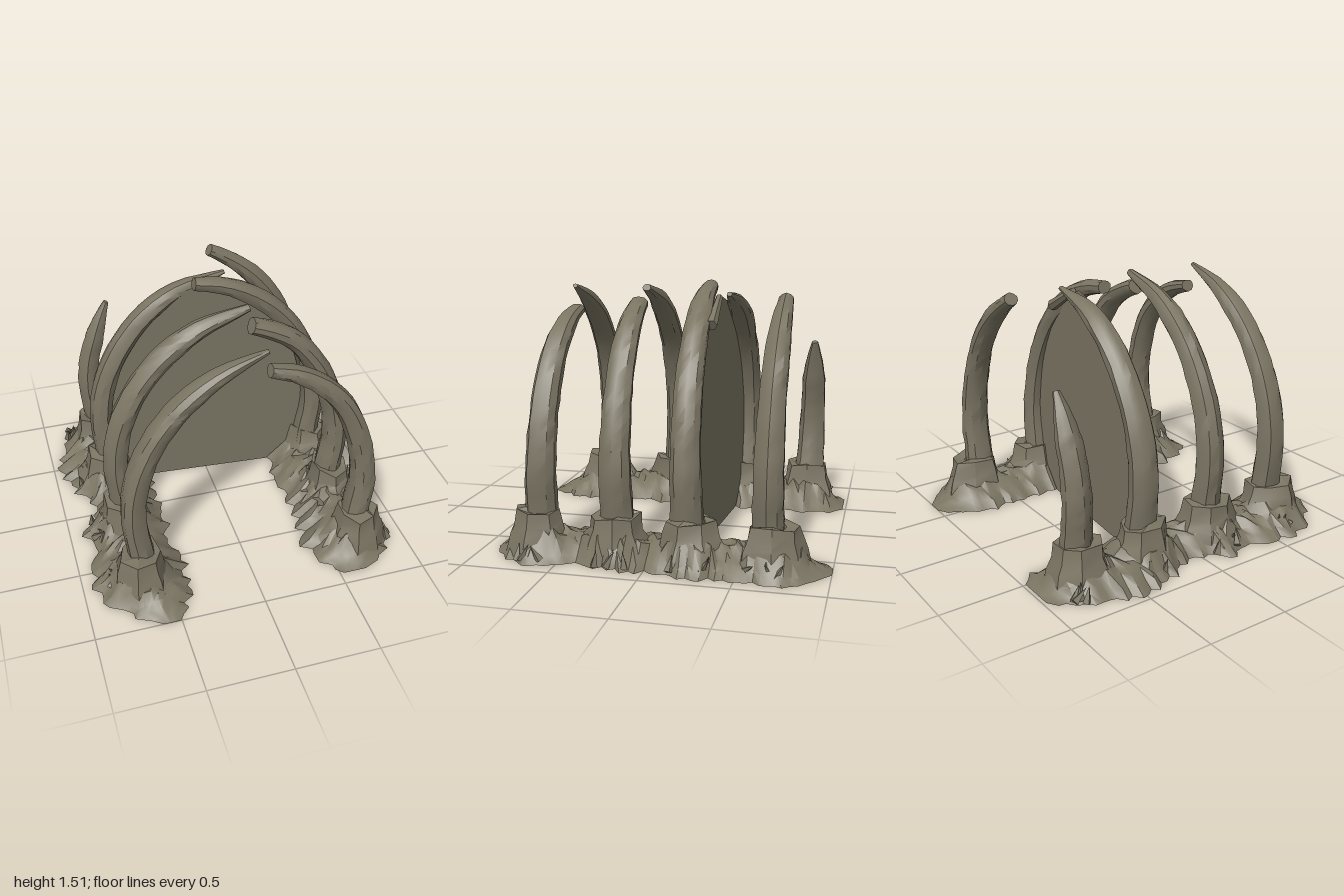
import * as THREE from 'three';
import { toCreasedNormals } from 'three/addons/utils/BufferGeometryUtils.js';

const FLOOR = 0.025;

// Repeatable random numbers in -1..1
let seed = 7;
function rand() {
  seed = (seed * 16807) % 2147483647;
  return (seed / 2147483647) * 2 - 1;
}

// Surface through a grid of points; flip turns it over
function gridGeometry(rows, flip = false) {
  const n = rows[0].length, index = [];
  for (let i = 0; i < rows.length - 1; i++) {
    for (let j = 0; j < n - 1; j++) {
      const a = i * n + j, b = a + 1, c = a + n, d = c + 1;
      if (flip) index.push(a, b, c, b, d, c);
      else index.push(a, c, b, b, c, d);
    }
  }
  const g = new THREE.BufferGeometry().setFromPoints(rows.flat());
  g.setIndex(index);
  return toCreasedNormals(g, 0.6);
}

// Rib centre lines as [x, y], from the root upwards
const leftLine = [[0.66, 0.05], [0.685, 0.3], [0.71, 0.5], [0.69, 0.7], [0.635, 0.9], [0.535, 1.1], [0.395, 1.27]];
const rightLine = [[-0.62, 0.05], [-0.65, 0.3], [-0.675, 0.5], [-0.663, 0.7], [-0.607, 0.9], [-0.5, 1.1], [-0.36, 1.26]];

// [line, upper points, root z, tip z, tip scale]
const ribs = [
  [leftLine.slice(0, 6), [[0.4, 1.235], [0.27, 1.315], [0.12, 1.36]], 0.65, 0.6, 0.45],
  [leftLine, [[0.25, 1.36], [0.14, 1.405]], 0.195, 0.21, 0.55],
  [leftLine, [[0.22, 1.4], [0.06, 1.47], [-0.09, 1.5]], -0.21, -0.18, 0.45],
  [leftLine, [[0.25, 1.385], [0.14, 1.45]], -0.65, -0.66, 0.45],
  [rightLine, [[-0.16, 1.4], [0.1, 1.5]], 0.63, 0.62, 0.15],
  [rightLine, [[-0.16, 1.4], [0.14, 1.5]], 0.155, 0.165, 0.25],
  [rightLine, [[-0.16, 1.39], [0.14, 1.47]], -0.31, -0.33, 0.15],
  [rightLine.slice(0, 5), [[-0.56, 1.03], [-0.52, 1.12]], -0.74, -0.77, 0.2],
];

// Tapered tube of oval rings with a slightly worn surface
function ribGeometry([line, top, z0, z1, tip]) {
  const pts = [...line, ...top];
  const curve = new THREE.CatmullRomCurve3(pts.map(([x, y], i) =>
    new THREE.Vector3(x, y, THREE.MathUtils.lerp(z0, z1, i / (pts.length - 1)))));
  const steps = 24, sides = 10, rows = [];
  const zAxis = new THREE.Vector3(0, 0, 1);
  const worn = Array.from({ length: sides }, () => 1 + rand() * 0.06);
  for (let i = 0; i <= steps + 1; i++) {
    const t = Math.min(i / steps, 1);
    const c = curve.getPointAt(t);
    const n = curve.getTangentAt(t).cross(zAxis).normalize();
    let s = t < 0.75 ? 1 - 0.27 * (t / 0.75) : 0.73 + (tip - 0.73) * ((t - 0.75) / 0.25) ** 1.3;
    if (i > steps) s = 0.001; // closing cap
    const ring = [];
    for (let j = 0; j < sides; j++) {
      const a = (j / sides) * Math.PI * 2;
      const r = s * worn[j] * (1 + rand() * 0.04);
      ring.push(c.clone().addScaledVector(n, Math.cos(a) * 0.084 * r)
        .addScaledVector(zAxis, Math.sin(a) * 0.1 * r));
    }
    ring.push(ring[0].clone());
    rows.push(ring);
  }
  return gridGeometry(rows);
}

// Ground outlines as [z, smaller x, larger x]
const leftGround = [[-1, 0.57, 0.72], [-0.9, 0.5, 0.82], [-0.75, 0.42, 0.94], [-0.5, 0.42, 0.89], [-0.2, 0.42, 0.92],
  [0, 0.41, 0.89], [0.2, 0.42, 0.9], [0.4, 0.42, 0.83], [0.65, 0.37, 0.91], [0.8, 0.44, 0.86], [0.92, 0.54, 0.66]];
const rightGround = [[-0.98, -0.72, -0.52], [-0.93, -0.78, -0.42], [-0.8, -0.89, -0.38], [-0.55, -0.95, -0.4],
  [-0.3, -0.92, -0.4], [-0.1, -0.82, -0.41], [0, -0.8, -0.41], [0.15, -0.91, -0.4], [0.4, -0.88, -0.41],
  [0.6, -0.93, -0.38], [0.8, -0.88, -0.38], [1, -0.62, -0.5]];

function outlineAt(outline, z) {
  let k = 0;
  while (k < outline.length - 2 && outline[k + 1][0] < z) k++;
  const [za, a0, b0] = outline[k], [zb, a1, b1] = outline[k + 1];
  const t = (z - za) / (zb - za);
  return [THREE.MathUtils.lerp(a0, a1, t), THREE.MathUtils.lerp(b0, b1, t)];
}

// Rough mound rising around each socket, with a flat underside
function groundGeometries(outline, sockets) {
  const rows = [], under = [], nz = 48, nx = 10;
  const zA = outline[0][0], zB = outline[outline.length - 1][0];
  for (let i = 0; i <= nz; i++) {
    const z = zA + (zB - zA) * (i / nz);
    let [x0, x1] = outlineAt(outline, z);
    x0 += rand() * 0.035;
    x1 += rand() * 0.035;
    const row = [], end = Math.min(1, Math.min(i, nz - i) / 6);
    for (let j = 0; j <= nx; j++) {
      const u = j / nx, x = x0 + (x1 - x0) * u;
      const e = Math.sin(Math.PI * u) * end;
      let h = 0.125 * e;
      for (const [sx, sz] of sockets) {
        const d = Math.hypot(x - sx, (z - sz) * 0.9) / 0.2;
        h = Math.max(h, 0.17 * Math.exp(-(d ** 4)) * Math.min(1, e * 1.8));
      }
      h *= 1 + rand() * 0.2;
      row.push(new THREE.Vector3(x, FLOOR + h, z));
    }
    rows.push(row);
    under.push([row[0].clone().setY(FLOOR), row[nx].clone().setY(FLOOR)]);
  }
  return [gridGeometry(rows), gridGeometry(under, true)];
}

// Broken stone collar around a rib root
function socketGeometry() {
  const sides = 7, rows = [];
  const profile = [[0.18, FLOOR], [0.155, 0.14], [0.132, 0.2], [0.12, 0.28], [0.06, 0.285]];
  const rough = Array.from({ length: sides }, () => 1 + rand() * 0.12);
  const turn = rand();
  for (const [r, y] of profile) {
    const ring = [];
    for (let j = 0; j < sides; j++) {
      const a = (j / sides) * Math.PI * 2 + turn;
      const k = r * rough[j] * (1 + rand() * 0.06);
      ring.push(new THREE.Vector3(Math.cos(a) * k, y + (y > 0.1 ? rand() * 0.02 : 0), Math.sin(a) * k * 1.18));
    }
    ring.push(ring[0].clone());
    rows.push(ring);
  }
  return gridGeometry(rows);
}

export function createModel() {
  const model = new THREE.Group();
  model.name = 'ribArchway';
  const bone = new THREE.MeshStandardMaterial({ color: 0x7a7462, side: THREE.DoubleSide });
  bone.name = 'weatheredBone';
  const add = (name, geometry, parent = model) => {
    const mesh = new THREE.Mesh(geometry, bone);
    mesh.name = name;
    parent.add(mesh);
    return mesh;
  };

  // Ribs, four on each side
  ribs.forEach((r, i) => add((i < 4 ? 'leftRib' : 'rightRib') + ((i % 4) + 1), ribGeometry(r)));

  // Ground, sockets and stone shards for each side
  const sides = [
    ['left', 1, leftGround, [[0.695, 0.66], [0.695, 0.21], [0.695, -0.24], [0.695, -0.68]]],
    ['right', -1, rightGround, [[-0.655, 0.65], [-0.655, 0.16], [-0.655, -0.31], [-0.655, -0.73]]],
  ];
  for (const [name, dir, outline, sockets] of sides) {
    const side = new THREE.Group();
    side.name = name + 'Base';
    model.add(side);
    const [ground, underside] = groundGeometries(outline, sockets);
    add('ground', ground, side);
    add('underside', underside, side);
    for (const [x, z] of sockets) {
      add('socket', socketGeometry(), side).position.set(x, 0, z);
      for (let k = 0; k < 4; k++) {
        const shard = add('shard', toCreasedNormals(new THREE.ConeGeometry(0.026, 0.1, 4), 0.3), side);
        shard.position.set(x + dir * (0.17 + rand() * 0.03), 0.085, z + rand() * 0.12);
        shard.rotation.set(rand() * 0.6, rand() * 3, -dir * (0.4 + rand() * 0.4));
      }
    }
  }

  // Membrane stretched across the third pair of ribs
  const edge = [...rightLine.slice(1), [-0.16, 1.4], [0.06, 1.46], [0.2, 1.41], ...leftLine.slice(1).reverse()];
  const outline = new THREE.Shape([[-0.4, 0.03], [-0.53, 0.18], ...edge, [0.57, 0.18], [0.42, 0.03]]
    .map(([x, y]) => new THREE.Vector2(x, y)));
  const sheet = new THREE.ShapeGeometry(outline);
  const p = sheet.attributes.position;
  for (let i = 0; i < p.count; i++) p.setZ(i, -0.26 + p.getX(i) * 0.075);
  sheet.computeVertexNormals();
  add('membrane', sheet);

  // Splinter lying along the crossing of the third ribs
  const splinter = add('splinter', toCreasedNormals(new THREE.CylinderGeometry(0.02, 0.035, 0.28, 6), 0.4));
  splinter.position.set(0.23, 1.38, -0.265);
  splinter.rotation.z = 1.05;

  return model;
}
